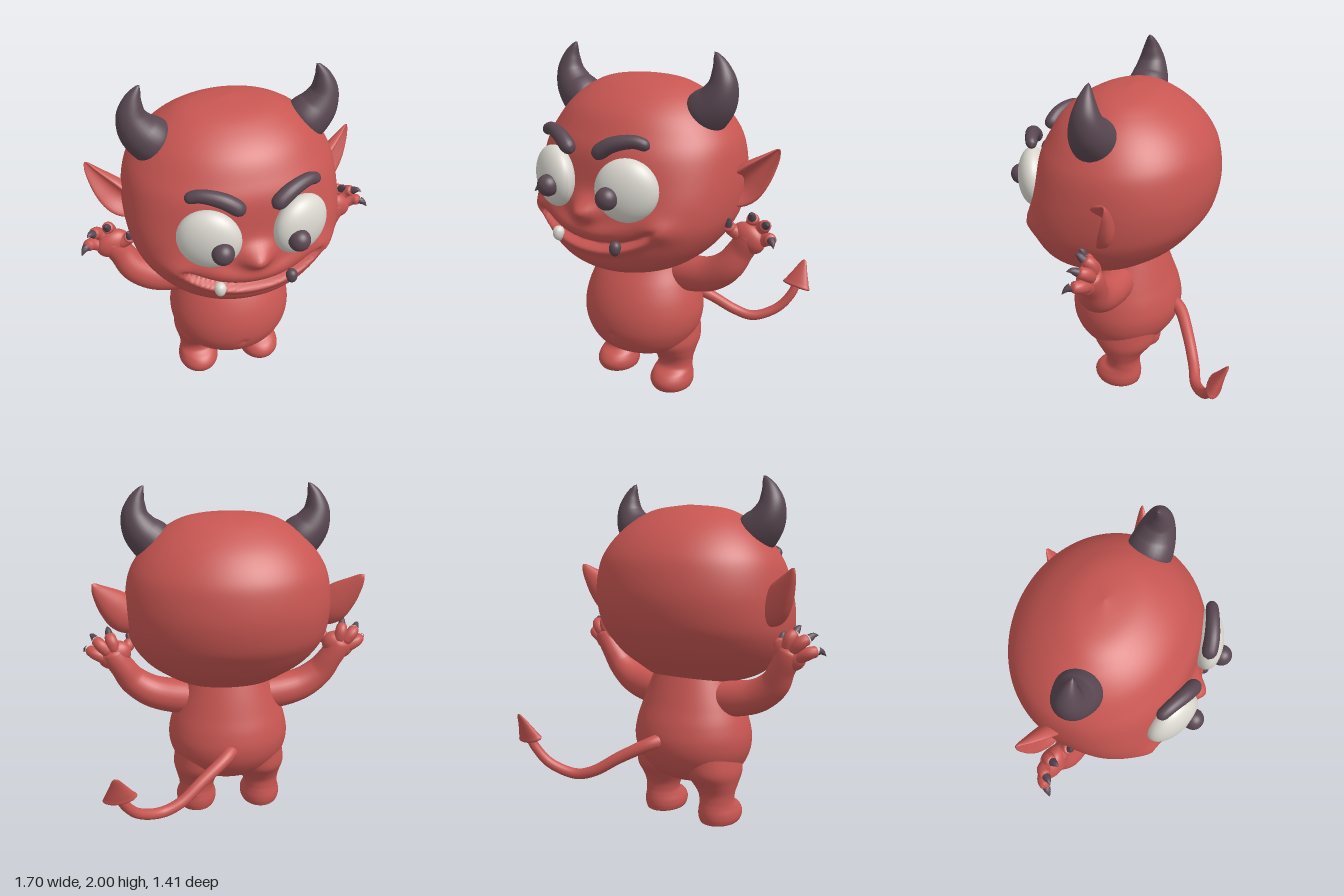
import * as THREE from 'three';

const mat = (name, color) => Object.assign(new THREE.MeshStandardMaterial({ color }), { name });
const V3 = (a) => new THREE.Vector3(...a);
const smooth = (list) => new THREE.CatmullRomCurve3(list.map(V3), false, 'catmullrom', 0.5);
const bell = (v, centre, width) => Math.exp(-(((v - centre) / width) ** 2));

// Indexed skin over a grid of rings
function skin(rings, segs, point, flip) {
  const pos = [], idx = [];
  for (let j = 0; j <= rings; j++) {
    for (let i = 0; i < segs; i++) pos.push(...point(j / rings, (i / segs) * Math.PI * 2));
  }
  for (let j = 0; j < rings; j++) {
    for (let i = 0; i < segs; i++) {
      const a = j * segs + i, b = j * segs + ((i + 1) % segs), c = a + segs, d = b + segs;
      if (flip) idx.push(a, c, b, b, c, d);
      else idx.push(a, b, c, b, d, c);
    }
  }
  const g = new THREE.BufferGeometry();
  g.setAttribute('position', new THREE.Float32BufferAttribute(pos, 3));
  g.setIndex(idx);
  g.computeVertexNormals();
  return g;
}

// Upright form from rows of [y, centre x, half width, back z, front z]
function loft(rows, rings, segs, power = () => 2, bump = () => 0) {
  const a = smooth(rows.map((r) => [r[0], r[1], r[2]]));
  const b = smooth(rows.map((r) => [r[3], r[4], 0]));
  const low = rows[0][0], high = rows[rows.length - 1][0];
  return skin(rings, segs, (t, phi) => {
    const p = a.getPoint(t), q = b.getPoint(t);
    const y = Math.min(high, Math.max(low, p.x)), w = Math.max(0, p.z);
    const c = Math.cos(phi), s = Math.sin(phi), n = s > 0 ? power(y) : 2;
    const r = 1 / (Math.abs(c) ** n + Math.abs(s) ** n) ** (1 / n);
    const x = p.y + w * c * r;
    const z = (q.x + q.y) / 2 + ((q.y - q.x) / 2) * s * r;
    return [x, y, z + (s > 0 ? bump(x, y) * Math.min(1, s * 2) : 0)];
  }, true);
}

// Limb swept along points [x, y, z, radius]; section maps an angle to the depth offset
function sweep(pts, { rings = 28, segs = 20, front = [0, 0, 1], round = 0, section = Math.sin } = {}) {
  const path = smooth(pts.map((p) => p.slice(0, 3)));
  const radius = smooth(pts.map((p) => [p[3], 0, 0]));
  return skin(rings, segs, (t, phi) => {
    const p = path.getPoint(t), d = path.getTangent(t);
    const v = V3(front).addScaledVector(d, -V3(front).dot(d)).normalize();
    const u = v.clone().cross(d);
    let r = Math.max(0, radius.getPoint(t).x);
    if (round) r *= Math.sqrt(Math.max(0, 1 - (1 - Math.min(1, Math.min(t, 1 - t) / round)) ** 2));
    return p.addScaledVector(u, Math.cos(phi) * r).addScaledVector(v, section(phi) * r).toArray();
  });
}

const ball = (x, y, z, rx, ry, rz, turn = 0) =>
  new THREE.SphereGeometry(1, 40, 28).scale(rx, ry, rz).rotateY(turn).translate(x, y, z);

function mirrored(geo) {
  const g = geo.clone().scale(-1, 1, 1), ix = g.index.array;
  for (let i = 0; i < ix.length; i += 3) [ix[i + 1], ix[i + 2]] = [ix[i + 2], ix[i + 1]];
  g.computeVertexNormals();
  return g;
}

// Nose, smiling mouth, lips and cheeks pressed into the front of the head
function face(x, y) {
  const ax = Math.abs(x);
  const mouthY = 1.03 + 0.11 * Math.min(1.2, ax / 0.37) ** 2.2;
  const inMouth = 1 / (1 + Math.exp((ax - 0.36) / 0.015));
  return 0.09 * bell(x, 0, 0.08) * bell(y, 1.215, 0.06)
    + 0.035 * bell(x, 0, 0.26) * bell(y, mouthY + 0.07, 0.05)
    - 0.05 * inMouth * bell(y, mouthY, 0.016)
    + 0.02 * inMouth * bell(y, mouthY - 0.04, 0.025)
    + 0.035 * bell(ax, 0.41, 0.07) * bell(y, 1.15, 0.06);
}

export function createModel() {
  const model = new THREE.Group();
  model.name = 'impFigure';
  const red = mat('redSkin', 0xc85652);
  const dark = mat('darkHorn', 0x594751);
  const white = mat('eyeWhite', 0xdad7cf);
  const add = (name, geo, material) => {
    const m = new THREE.Mesh(geo, material);
    m.name = name;
    model.add(m);
  };
  const pair = (name, geo, material) => {
    add(name + 'Left', geo, material);
    add(name + 'Right', mirrored(geo), material);
  };

  // Head
  add('head', loft([
    [0.82, 0, 0, 0.25, 0.25], [0.825, 0, 0.17, 0.02, 0.4], [0.86, 0, 0.32, -0.1, 0.49],
    [0.92, 0, 0.42, -0.18, 0.545], [1.0, 0, 0.5, -0.28, 0.57], [1.1, 0, 0.56, -0.36, 0.575],
    [1.2, 0, 0.585, -0.42, 0.57], [1.35, 0, 0.59, -0.45, 0.55], [1.5, 0, 0.57, -0.435, 0.53],
    [1.6, 0, 0.525, -0.395, 0.485], [1.7, 0, 0.445, -0.315, 0.42], [1.78, 0, 0.345, -0.21, 0.32],
    [1.835, 0, 0.22, -0.1, 0.2], [1.86, 0, 0, 0.04, 0.04],
  ], 150, 160, (y) => 2 + 0.7 * bell(y, 1.2, 0.26), face), red);

  // Torso with a small navel
  add('torso', loft([
    [0.23, 0, 0, 0.1, 0.1], [0.245, 0, 0.17, -0.05, 0.24], [0.3, 0, 0.28, -0.15, 0.345],
    [0.4, 0, 0.345, -0.225, 0.4], [0.5, 0, 0.365, -0.25, 0.41], [0.6, 0, 0.35, -0.235, 0.39],
    [0.7, 0, 0.315, -0.2, 0.345], [0.8, 0, 0.27, -0.165, 0.28], [0.92, 0, 0.22, -0.12, 0.22],
  ], 60, 96, () => 2, (x, y) => -0.015 * bell(x, 0, 0.018) * bell(y, 0.41, 0.018)), red);

  // Legs and feet
  pair('leg', loft([
    [0, 0.205, 0, 0.06, 0.06], [0, 0.205, 0.095, -0.045, 0.18], [0.025, 0.205, 0.12, -0.065, 0.212],
    [0.065, 0.205, 0.124, -0.07, 0.22], [0.105, 0.205, 0.114, -0.065, 0.195], [0.14, 0.205, 0.106, -0.06, 0.145],
    [0.19, 0.2, 0.115, -0.065, 0.145], [0.25, 0.19, 0.14, -0.1, 0.185], [0.32, 0.18, 0.163, -0.15, 0.23],
    [0.42, 0.17, 0.16, -0.16, 0.23],
  ], 50, 40), red);

  // Arms and palms
  pair('arm', sweep([
    [0.12, 0.75, 0.05, 0.1], [0.3, 0.757, 0.06, 0.104], [0.45, 0.79, 0.07, 0.097], [0.56, 0.865, 0.07, 0.086],
    [0.62, 0.96, 0.05, 0.073], [0.66, 1.03, 0.045, 0.07], [0.685, 1.09, 0.045, 0.06],
  ], { rings: 40, segs: 28, round: 0.08 }), red);
  pair('palm', ball(0, 0, 0, 0.1, 0.08, 0.06).rotateZ(-0.5).translate(0.665, 1.045, 0.05), red);

  // Fingers, each ending in a curved claw
  [
    [[0.70, 1.02, 0.04], [0.775, 1.06, 0.045], [0.815, 1.075, 0.085], [0.848, 1.045, 0.12]],
    [[0.69, 1.06, 0.03], [0.74, 1.115, 0.03], [0.77, 1.14, 0.065], [0.805, 1.155, 0.11]],
    [[0.66, 1.07, 0.03], [0.677, 1.135, 0.03], [0.69, 1.165, 0.065], [0.702, 1.2, 0.11]],
    [[0.64, 1.05, 0.07], [0.585, 1.085, 0.085], [0.575, 1.115, 0.11], [0.592, 1.16, 0.13]],
  ].forEach(([a, b, c, tip], i) => {
    pair('finger' + i, sweep([[...a, 0.036], [...b, 0.035], [...c, 0.03]],
      { rings: 14, segs: 14, front: [0.3, 0.2, 1], round: 0.15 }), red);
    const mid = c.map((v, k) => (v + tip[k]) / 2 + (k === 1 ? 0.008 : 0));
    pair('claw' + i, sweep([[...c, 0.023], [...mid, 0.015], [...tip, 0]],
      { rings: 8, segs: 12, front: [0.3, -0.5, 1] }), dark);
  });

  // Horns
  pair('horn', sweep([
    [0.37, 1.655, 0.1, 0.11], [0.42, 1.695, 0.1, 0.122], [0.48, 1.76, 0.1, 0.106], [0.508, 1.84, 0.1, 0.079],
    [0.497, 1.92, 0.1, 0.048], [0.47, 1.98, 0.1, 0.018], [0.455, 2.0, 0.1, 0],
  ], { segs: 32, rings: 40 }), dark);

  // Ears: pointed leaves, hollow in front
  pair('ear', sweep([
    [0.5, 1.275, 0.03, 0.085], [0.585, 1.305, 0.01, 0.108], [0.655, 1.375, -0.02, 0.09],
    [0.715, 1.45, -0.055, 0.05], [0.745, 1.497, -0.075, 0.02], [0.757, 1.512, -0.08, 0],
  ], {
    segs: 40, front: [0.55, 0, 0.8],
    section: (phi) => (phi < Math.PI ? 0.36 * Math.sin(3 * phi) : 0.65 * Math.sin(phi)),
  }), red);

  // Eyes, pupils and brows
  pair('eyeball', ball(0.24, 1.35, 0.545, 0.165, 0.165, 0.088, 0.4), white);
  pair('pupil', ball(0.197, 1.328, 0.65, 0.057, 0.058, 0.056), dark);
  pair('eyebrow', sweep([
    [0.345, 1.572, 0.49, 0.03], [0.27, 1.597, 0.525, 0.034], [0.165, 1.575, 0.568, 0.04], [0.07, 1.51, 0.595, 0.042],
  ], { front: [0.3, 0, 1], round: 0.16 }), dark);

  // One pale and one dark fang
  const fang = sweep([[0.195, 1.085, 0.575, 0.03], [0.195, 1.04, 0.59, 0.03], [0.192, 1.0, 0.58, 0.012]],
    { rings: 16, segs: 16, round: 0.35 });
  add('fangLeft', fang, dark);
  add('fangRight', mirrored(fang), white);

  // Tail with an arrow tip
  add('tail', sweep([
    [0, 0.52, -0.19, 0.045], [0.06, 0.495, -0.28, 0.038], [0.2, 0.415, -0.37, 0.034], [0.33, 0.33, -0.44, 0.032],
    [0.45, 0.302, -0.485, 0.031], [0.57, 0.36, -0.56, 0.029], [0.64, 0.46, -0.612, 0.027], [0.66, 0.55, -0.645, 0.024],
  ], { rings: 60, front: [0.3, 1, 0.8] }), red);
  add('tailTip', sweep([
    [0.656, 0.498, -0.625, 0], [0.657, 0.508, -0.63, 0.086], [0.66, 0.535, -0.641, 0.078],
    [0.666, 0.6, -0.668, 0.045], [0.671, 0.655, -0.694, 0.018], [0.672, 0.67, -0.702, 0],
  ], { rings: 30, section: (phi) => 0.45 * Math.sin(phi) }), red);

  return model;
}
